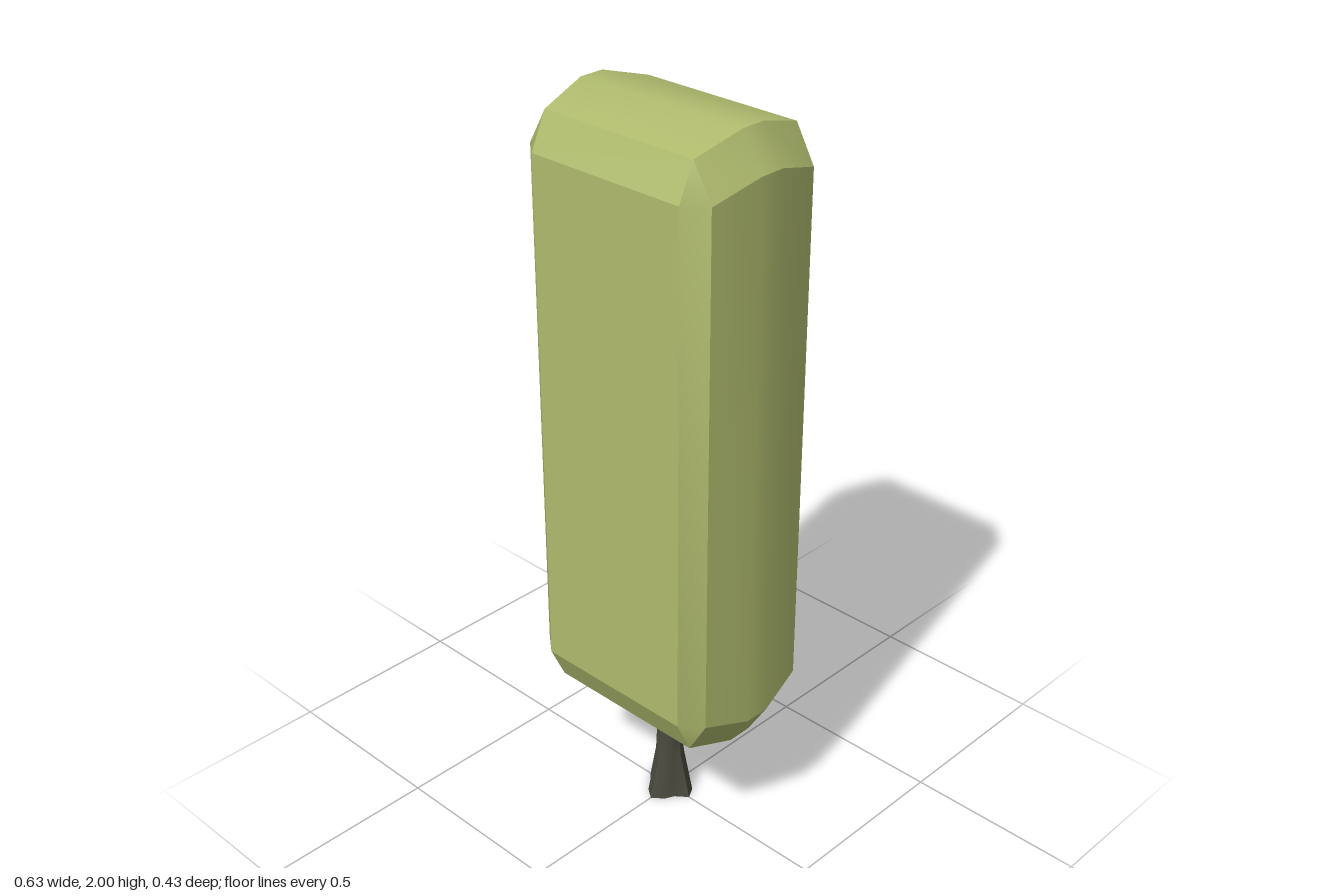
import * as THREE from 'three';
import { toCreasedNormals } from 'three/addons/utils/BufferGeometryUtils.js';

// Joins rings with equal point counts into a closed, capped surface.
// Rings run anticlockwise as seen from the side the last ring faces.
function loft(rings, crease) {
  const n = rings[0].length;
  const pos = [];
  const tri = (a, b, c) => {
    const area = new THREE.Vector3().subVectors(b, a).cross(new THREE.Vector3().subVectors(c, a)).length();
    if (area > 1e-9) for (const p of [a, b, c]) pos.push(p.x, p.y, p.z);
  };
  for (let r = 0; r < rings.length - 1; r++) {
    for (let i = 0; i < n; i++) {
      const j = (i + 1) % n;
      const [a, b, c, d] = [rings[r][i], rings[r][j], rings[r + 1][j], rings[r + 1][i]];
      tri(a, b, c);
      tri(a, c, d);
    }
  }
  // end caps
  const mid = (ring) => ring.reduce((s, p) => s.add(p), new THREE.Vector3()).divideScalar(n);
  const first = rings[0], last = rings[rings.length - 1];
  const m0 = mid(first), m1 = mid(last);
  for (let i = 0; i < n; i++) {
    const j = (i + 1) % n;
    tri(m0, first[j], first[i]);
    tri(m1, last[i], last[j]);
  }
  const g = new THREE.BufferGeometry();
  g.setAttribute('position', new THREE.Float32BufferAttribute(pos, 3));
  return toCreasedNormals(g, crease);
}

// Clipped foliage block: octagonal outlines stacked along z
function makeFoliage() {
  const centreY = 1.16;
  // z, half width, half width of top edge, half height, half height of side edge
  const half = [
    [0.035, 0.315, 0.255, 0.84, 0.745],
    [0.17, 0.29, 0.235, 0.8, 0.705],
    [0.215, 0.235, 0.235, 0.705, 0.705],
  ];
  const sections = [...half.map(([z, ...s]) => [-z, ...s]).reverse(), ...half];
  const rings = sections.map(([z, w, wt, h, hs]) =>
    [[w, -hs], [w, hs], [wt, h], [-wt, h], [-w, hs], [-w, -hs], [-wt, -h], [wt, -h]]
      .map(([x, y]) => new THREE.Vector3(x, centreY + y, z)));
  return loft(rings, 0.4);
}

// Slim trunk that flares into uneven root lobes
function makeTrunk() {
  const radius = 0.036;
  const roots = [0.075, 0.05, 0.06, 0.076, 0.062, 0.055, 0.075, 0.117, 0.11, 0.06, 0.055, 0.065];
  // height and amount of flare
  const levels = [[0, 1], [0.13, 0.16], [0.2, 0], [0.38, 0]];
  const rings = levels.map(([y, flare]) => roots.map((_, k) => {
    const i = roots.length - 1 - k;
    const a = (i / roots.length) * Math.PI * 2;
    const r = radius + (roots[i] - radius) * flare;
    return new THREE.Vector3(Math.cos(a) * r, y, Math.sin(a) * r);
  }));
  return loft(rings, 0.55);
}

export function createModel() {
  const group = new THREE.Group();
  group.name = 'hedgeTree';
  const add = (name, geometry, color) => {
    const mesh = new THREE.Mesh(geometry, new THREE.MeshStandardMaterial({ color }));
    mesh.name = name;
    group.add(mesh);
  };
  add('foliage', makeFoliage(), 0xb0bb6e);
  add('trunk', makeTrunk(), 0x4b4a3f);
  return group;
}
